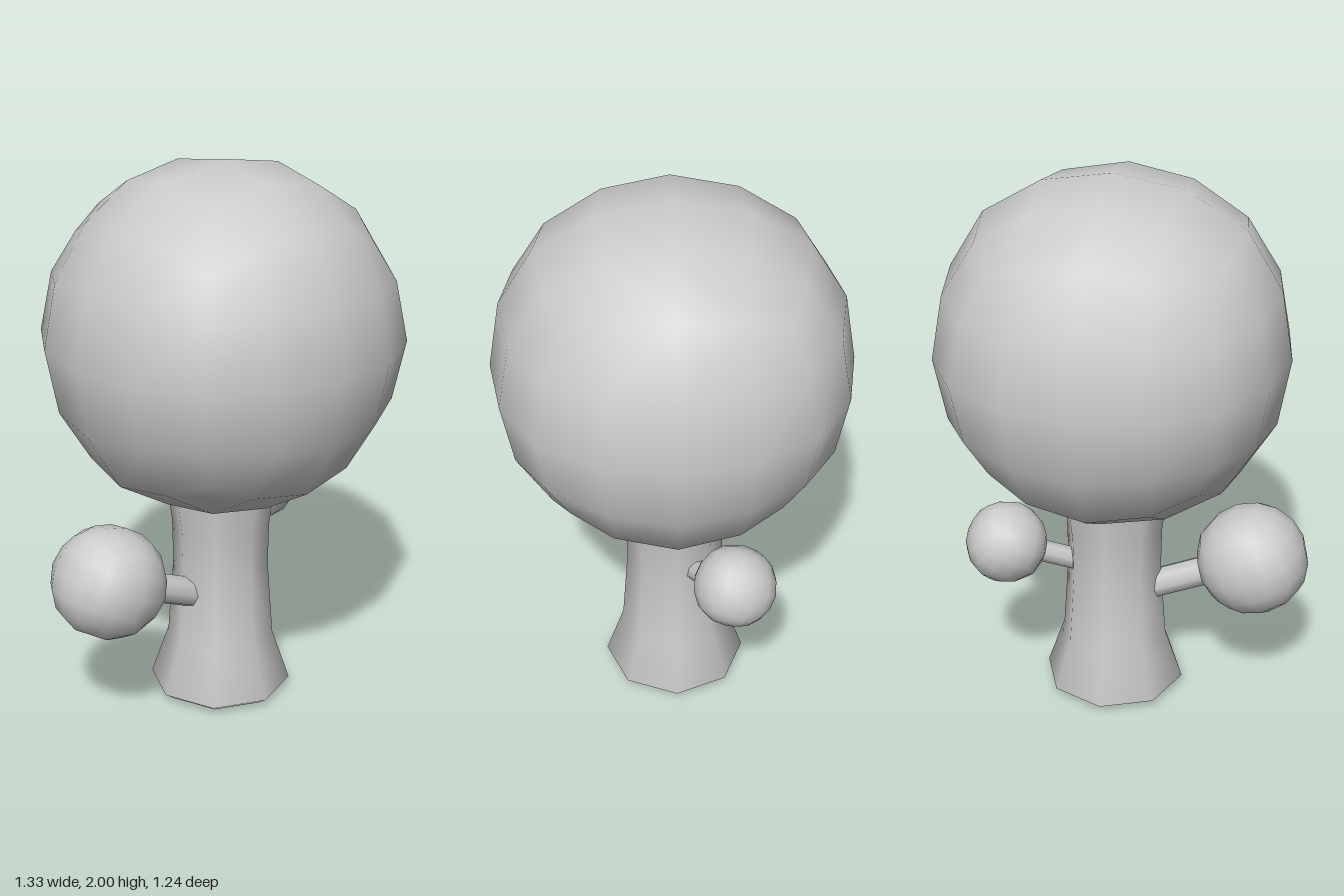
import * as THREE from 'three';
import { mergeVertices } from 'three/addons/utils/BufferGeometryUtils.js';

const material = new THREE.MeshStandardMaterial({ color: 0xcccccc });
const CENTRE = 0.043; // x of the trunk axis

// Twice-smoothed cube: maps each grid coordinate (0, half, one) by its point's type.
const ROUNDING = {
  '0,0,1': { 1: 0.8785 },
  '0,0.5,1': { 1: 0.8194, 0.5: 0.3507 },
  '0,1,1': { 1: 0.6432 },
  '0.5,0.5,1': { 1: 0.7639, 0.5: 0.3264 },
  '0.5,1,1': { 1: 0.599, 0.5: 0.302 },
  '1,1,1': { 1: 0.5093 },
};

function roundedBall(radius) {
  let geometry = new THREE.BoxGeometry(2, 2, 2, 4, 4, 4);
  geometry.deleteAttribute('uv');
  geometry.deleteAttribute('normal');
  geometry = mergeVertices(geometry);
  const position = geometry.attributes.position;
  for (let i = 0; i < position.count; i++) {
    const p = [position.getX(i), position.getY(i), position.getZ(i)];
    const size = p.map((c) => Math.round(Math.abs(c) * 2) / 2);
    const rule = ROUNDING[[...size].sort((a, b) => a - b).join()];
    const q = p.map((c, k) => (size[k] ? Math.sign(c) * rule[size[k]] : 0));
    position.setXYZ(i, ...q);
  }
  geometry.scale(radius / 0.8785, radius / 0.8785, radius / 0.8785);
  geometry.computeVertexNormals();
  return geometry;
}

function addMesh(parent, name, geometry) {
  const mesh = new THREE.Mesh(geometry, material);
  mesh.name = name;
  parent.add(mesh);
  return mesh;
}

// Straight branch from the trunk axis carrying a small foliage ball
function addBranch(parent, name, start, end, branchRadius, ballRadius) {
  const group = new THREE.Group();
  group.name = name;
  const direction = end.clone().sub(start);
  const length = direction.length();
  const stick = addMesh(group, 'branchStick', new THREE.CylinderGeometry(branchRadius, branchRadius, length, 8));
  stick.position.y = length / 2;
  const ball = addMesh(group, 'branchFoliage', roundedBall(ballRadius));
  ball.position.y = length;
  group.position.copy(start);
  group.quaternion.setFromUnitVectors(new THREE.Vector3(0, 1, 0), direction.normalize());
  parent.add(group);
}

export function createModel() {
  const tree = new THREE.Group();
  tree.name = 'tree';

  // Eight-sided trunk with a flared foot
  const profile = [
    [0.22, 0], [0.26, 0.028], [0.195, 0.22], [0.175, 0.5], [0.178, 0.66], [0.195, 0.8], [0.2, 0.9],
  ].map(([r, y]) => new THREE.Vector2(r, y));
  const trunk = addMesh(tree, 'trunk', new THREE.LatheGeometry(profile, 8));
  trunk.position.set(CENTRE, 0, -0.007);

  // Flat underside
  const base = addMesh(tree, 'trunkBase', new THREE.CircleGeometry(0.22, 8));
  base.rotation.x = Math.PI / 2;
  base.position.copy(trunk.position);

  // Main foliage
  addMesh(tree, 'crown', roundedBall(0.62)).position.set(CENTRE, 1.38, 0);

  // Side branches
  addBranch(tree, 'rightBranch', new THREE.Vector3(CENTRE, 0.36, 0), new THREE.Vector3(-0.468, 0.58, 0), 0.055, 0.2);
  addBranch(tree, 'leftBranch', new THREE.Vector3(CENTRE, 0.47, 0), new THREE.Vector3(0.395, 0.66, -0.205), 0.04, 0.144);

  return tree;
}
